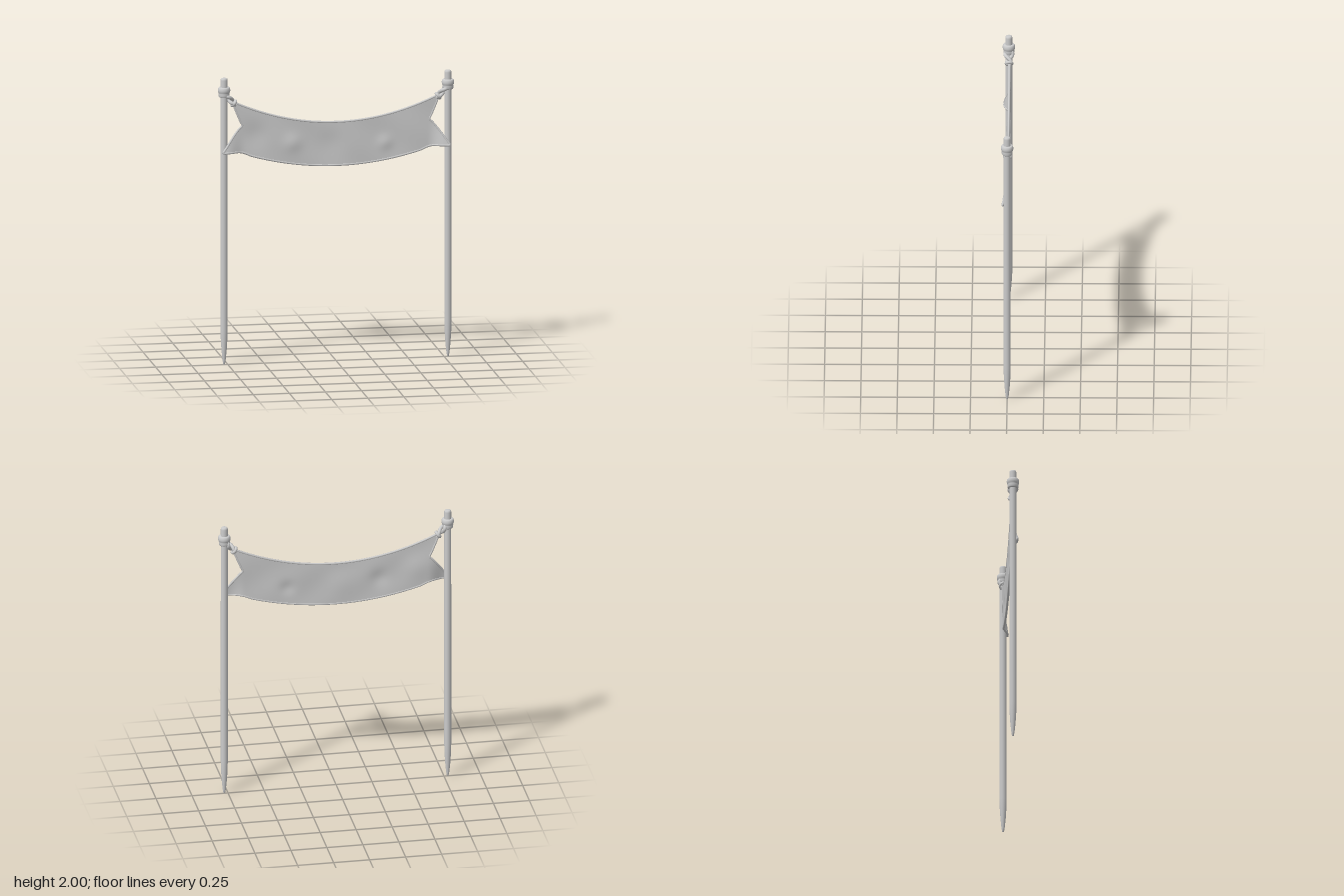
import * as THREE from 'three';

const POST_X = 0.776;
const NOTCH_V = 0.57;
const material = new THREE.MeshStandardMaterial({ color: 0xcccccc, roughness: 0.8 });
const { lerp, smoothstep } = THREE.MathUtils;

function addMesh(parent, name, geometry) {
  const mesh = new THREE.Mesh(geometry, material);
  mesh.name = name;
  parent.add(mesh);
  return mesh;
}

function lathe(points, segments) {
  return new THREE.LatheGeometry(points.map(([r, y]) => new THREE.Vector2(r, y)), segments);
}

// Gaussian dent in the cloth
function dent(x, y, cx, cy, width, depth) {
  return depth * Math.exp(-((x - cx) ** 2 + (y - cy) ** 2) / (width * width));
}

// Middle surface of the sagging banner: u runs -1..1 across, v runs 0..1 upwards
function clothPoint(u, v) {
  const end = v < NOTCH_V
    ? lerp(0.785, 0.648, v / NOTCH_V)
    : lerp(0.648, 0.718, (v - NOTCH_V) / (1 - NOTCH_V));
  const x = u * end;
  const a = Math.abs(x);
  const top = 1.665 + 0.325 * x * x;
  const bottom = lerp(1.365 + 0.25 * x * x, 1.481, smoothstep(a, 0.58, 0.7));
  const y = lerp(bottom, top, v);
  // Lower tails pass in front of the posts
  const tail = 0.034 * smoothstep(a, 0.64, 0.76) * Math.max(0, 1 - v / NOTCH_V);
  const folds = 0.0035 * Math.sin(13 * x + 9 * (y - 1.5)) * Math.sin(Math.PI * v);
  const dents = dent(x, y, -0.3, 1.53, 0.06, 0.009) + dent(x, y, 0.34, 1.51, 0.05, 0.009)
    + dent(x, y, -0.55, 1.6, 0.09, -0.008) + dent(x, y, -0.02, 1.53, 0.09, -0.005);
  return new THREE.Vector3(x, y, -0.004 + tail + folds + dents);
}

// Cloth sheet with a front and a back layer
function clothGeometry() {
  const nu = 80, nv = 28, half = 0.005;
  const positions = [], indices = [];
  for (const side of [1, -1]) {
    const base = positions.length / 3;
    for (let i = 0; i <= nu; i++) {
      for (let j = 0; j <= nv; j++) {
        // Rows are spaced so that one falls exactly on the notch
        const t = j / nv;
        const v = t < 0.5 ? 2 * t * NOTCH_V : lerp(NOTCH_V, 1, 2 * t - 1);
        const p = clothPoint((2 * i) / nu - 1, v);
        positions.push(p.x, p.y, p.z + side * half);
      }
    }
    for (let i = 0; i < nu; i++) {
      for (let j = 0; j < nv; j++) {
        const a = base + i * (nv + 1) + j, b = a + nv + 1;
        if (side > 0) indices.push(a, b, b + 1, a, b + 1, a + 1);
        else indices.push(a, b + 1, b, a, a + 1, b + 1);
      }
    }
  }
  const geometry = new THREE.BufferGeometry();
  geometry.setAttribute('position', new THREE.Float32BufferAttribute(positions, 3));
  geometry.setIndex(indices);
  geometry.computeVertexNormals();
  return geometry;
}

// Rounded hem following the whole outline of the cloth
function hemGeometry() {
  const points = [];
  const run = (n, f) => {
    for (let i = 0; i < n; i++) points.push(clothPoint(...f(i / n)));
  };
  run(40, t => [2 * t - 1, 0]);
  run(7, t => [1, t * NOTCH_V]);
  run(5, t => [1, lerp(NOTCH_V, 1, t)]);
  run(40, t => [1 - 2 * t, 1]);
  run(5, t => [-1, lerp(1, NOTCH_V, t)]);
  run(7, t => [-1, (1 - t) * NOTCH_V]);
  const curve = new THREE.CatmullRomCurve3(points, true, 'centripetal');
  return new THREE.TubeGeometry(curve, 320, 0.008, 8, true);
}

// One strand of the twisted tie between collar and banner corner
function strandGeometry(side, phase) {
  const start = new THREE.Vector3(side * 0.765, 1.888, 0);
  const end = new THREE.Vector3(side * 0.7, 1.808, 0);
  const across = new THREE.Vector3(side * 0.78, -0.63, 0);
  const points = [];
  for (let i = 0; i <= 16; i++) {
    const t = i / 16;
    const angle = phase + t * Math.PI * 1.5;
    const p = start.clone().lerp(end, t);
    // The strands spread around the post, then close on the cloth corner
    const spread = 0.026 * Math.sqrt(Math.max(0.12, 1 - t * t));
    p.addScaledVector(across, 0.011 * Math.cos(angle));
    p.z += spread * Math.sin(angle);
    points.push(p);
  }
  return new THREE.TubeGeometry(new THREE.CatmullRomCurve3(points), 40, 0.0125, 10, false);
}

export function createModel() {
  const model = new THREE.Group();
  model.name = 'bannerOnPosts';

  const postShape = lathe([
    [0, 0], [0.006, 0.004], [0.011, 0.03], [0.018, 0.1], [0.023, 0.18], [0.0245, 0.25],
    [0.0245, 1.0], [0.024, 1.9], [0.0245, 1.985], [0.022, 1.996], [0.016, 2], [0, 2],
  ], 20);
  const collarShape = lathe([
    [0.02, 1.868], [0.033, 1.868], [0.037, 1.874], [0.038, 1.892], [0.036, 1.897],
    [0.041, 1.902], [0.043, 1.915], [0.041, 1.93], [0.035, 1.937], [0.02, 1.937],
  ], 24);

  for (const side of [-1, 1]) {
    const label = side > 0 ? 'left' : 'right';
    const support = new THREE.Group();
    support.name = label + 'Support';
    model.add(support);

    // Pointed stake with a rope collar near its top
    addMesh(support, label + 'Post', postShape).position.x = side * POST_X;
    addMesh(support, label + 'Collar', collarShape).position.x = side * POST_X;

    // Twisted tie and its end knot
    addMesh(support, label + 'TieFront', strandGeometry(side, 0.6));
    addMesh(support, label + 'TieBack', strandGeometry(side, 0.6 + Math.PI));
    const knot = addMesh(support, label + 'TieKnot', new THREE.TorusGeometry(0.02, 0.011, 10, 20));
    knot.position.set(side * 0.708, 1.822, -0.002);
    knot.rotation.set(0, Math.PI / 2, side * 0.68, 'ZYX');
  }

  // Swallow-tailed cloth banner
  const banner = new THREE.Group();
  banner.name = 'banner';
  model.add(banner);
  addMesh(banner, 'cloth', clothGeometry());
  addMesh(banner, 'hem', hemGeometry());
  return model;
}
